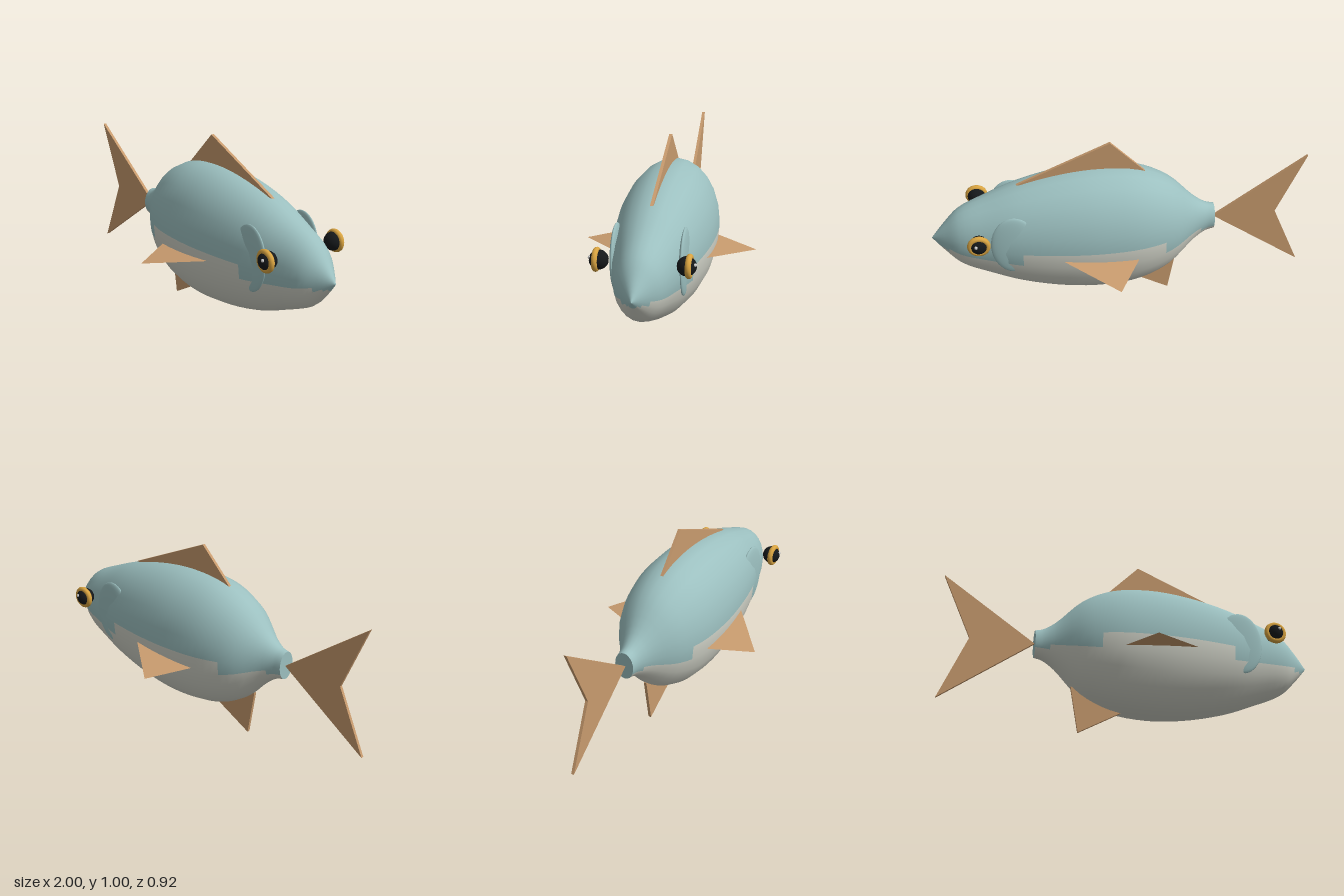
import * as THREE from 'three';

const MID = 0.477; // height of the body axis
const mat = (color, opts = {}) => {
  const m = new THREE.MeshStandardMaterial(opts);
  m.color.set(color);
  return m;
};
const blue = mat(0x9cc0c0);
const cream = mat(0xcfd1c6);
const finMat = mat(0xc89b6e, { side: THREE.DoubleSide });
const gillMat = mat(0x9cc0c0, { side: THREE.DoubleSide });
const gold = mat(0xd9a441);
const black = mat(0x15181a);
const white = mat(0xffffff);

function add(parent, name, geometry, material) {
  const mesh = new THREE.Mesh(geometry, material);
  mesh.name = name;
  parent.add(mesh);
  return mesh;
}

// Flat fin in the x-y plane, centred on z = 0
function plateFin(points) {
  const shape = new THREE.Shape(points.map(([x, y]) => new THREE.Vector2(x, y)));
  const depth = 0.016;
  return new THREE.ExtrudeGeometry(shape, { depth, bevelEnabled: false }).translate(0, 0, -depth / 2);
}

// Lathed body along x, narrowed in z; its quads are split into back and belly colours by height
function buildBody(group) {
  const profile = [
    [0.076, -0.51], [0.088, -0.465], [0.132, -0.4], [0.268, -0.26], [0.343, -0.1], [0.367, 0.1],
    [0.352, 0.3], [0.3, 0.53], [0.235, 0.7], [0.165, 0.85], [0.085, 0.93], [0.0, 1.0],
  ].map(([r, x]) => new THREE.Vector3(r, x, 0));
  const points = new THREE.CatmullRomCurve3(profile).getPoints(44)
    .map((p) => new THREE.Vector2(Math.max(p.x, 0), p.y));
  const geo = new THREE.LatheGeometry(points, 24);
  geo.rotateZ(-Math.PI / 2).scale(1, 1, 0.7).translate(0, MID, 0);

  const idx = geo.index.array;
  const pos = geo.attributes.position;
  const back = [], belly = [];
  for (let i = 0; i < idx.length; i += 6) {
    const quad = Array.from(idx.slice(i, i + 6));
    const y = quad.reduce((sum, v) => sum + pos.getY(v), 0) / 6;
    (y > 0.438 ? back : belly).push(...quad);
  }
  const backGeo = geo.clone(), bellyGeo = geo.clone();
  backGeo.setIndex(back);
  bellyGeo.setIndex(belly);
  add(group, 'back', backGeo, blue);
  add(group, 'belly', bellyGeo, cream);

  // Closed end behind the tail stalk
  const cap = new THREE.CircleGeometry(0.076, 24).rotateY(-Math.PI / 2).scale(1, 1, 0.7);
  add(group, 'tailStalkCap', cap.translate(-0.51, MID, 0), blue);
}

// Parts found on both flanks; s is +1 or -1 along z
function buildSide(s) {
  const side = new THREE.Group();
  side.name = s > 0 ? 'nearFlank' : 'farFlank';

  // Side fin: one thin triangle spreading out and slightly down
  const fin = new THREE.BufferGeometry();
  fin.setAttribute('position', new THREE.Float32BufferAttribute(
    [-0.08, 0.408, 0.225 * s, 0.05, 0.387, 0.46 * s, 0.34, 0.438, 0.225 * s], 3));
  fin.setIndex(s > 0 ? [0, 1, 2] : [0, 2, 1]);
  fin.computeVertexNormals();
  add(side, 'sideFin', fin, finMat);

  // Gill cover: flattened dome, open at the lower rear
  const start = -0.53 * Math.PI, sweep = 1.36 * Math.PI;
  const gill = new THREE.SphereGeometry(1, 32, 16, Math.PI - start - sweep, sweep);
  gill.rotateX(Math.PI / 2).scale(0.12, 0.175, 0.02);
  // turn the sector so its kept part faces the snout
  const p = gill.attributes.position;
  let sumX = 0;
  for (let i = 0; i < p.count; i++) sumX += p.getX(i);
  if (sumX < 0) gill.rotateZ(Math.PI);
  let low = 0;
  for (let i = 0; i < p.count; i++) if (p.getX(i) < -0.02) low += p.getY(i);
  if (low < 0) gill.rotateX(Math.PI);
  add(side, 'gillCover', gill, gillMat).position.set(0.572, 0.515, 0.17 * s);

  // Eye with ring and glint
  const eye = new THREE.Group();
  eye.name = 'eye';
  eye.position.set(0.752, 0.571, 0.212 * s);
  add(eye, 'eyeball', new THREE.SphereGeometry(0.048, 16, 12), black);
  add(eye, 'eyeRing', new THREE.TorusGeometry(0.045, 0.015, 12, 32), gold).position.z = 0.012 * s;
  add(eye, 'glint', new THREE.SphereGeometry(0.009, 10, 8), white).position.set(0.014, 0.014, 0.041 * s);
  side.add(eye);
  return side;
}

export function createModel() {
  const fish = new THREE.Group();
  fish.name = 'fish';
  buildBody(fish);

  // Fins on the centre line
  add(fish, 'tailFin', plateFin([[-0.51, MID], [-1, 0.826], [-0.85, MID], [-1, 0.13]]), finMat);
  add(fish, 'backFin', plateFin([[-0.15, 0.79], [0.54, 0.778], [0.05, 0.995]]), finMat);
  add(fish, 'bellyFin', plateFin([[-0.312, 0.25], [-0.27, 0], [0, 0.15]]), finMat);

  fish.add(buildSide(1), buildSide(-1));
  return fish;
}
